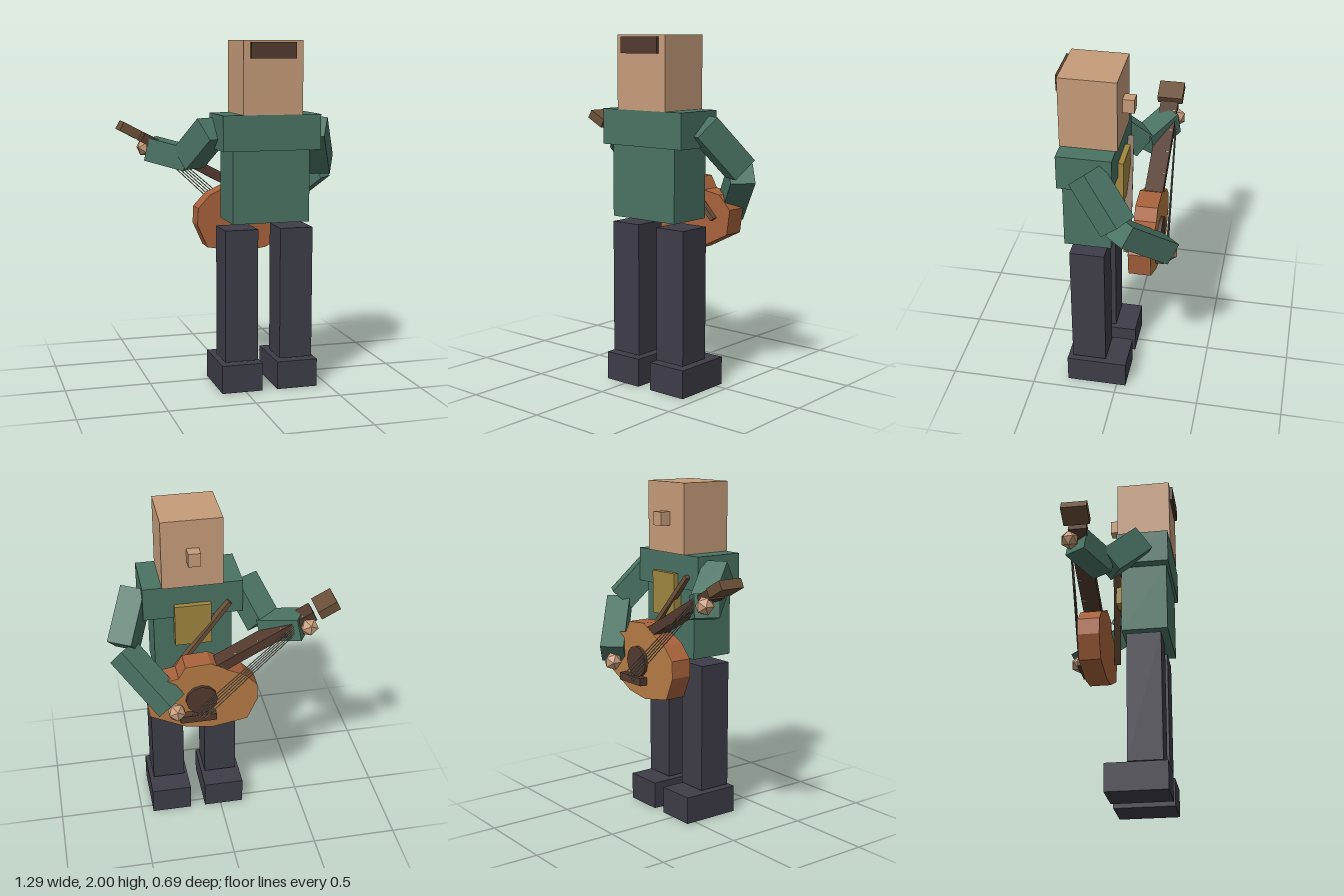
import * as THREE from 'three';

const mat = (name, color) => {
  const m = new THREE.MeshStandardMaterial({ color });
  m.name = name;
  return m;
};

export function createModel() {
  const skin = mat('skin', 0xc69c7a);
  const green = mat('greenShirt', 0x4a7364);
  const navy = mat('darkTrousers', 0x3e3d48);
  const dark = mat('darkWood', 0x533a2f);
  const brown = mat('brownWood', 0x6b5039);
  const orange = mat('guitarWood', 0xa8623c);
  const tan = mat('guitarTop', 0xb77c45);
  const ochre = mat('ochrePanel', 0xa08640);
  const steel = mat('strings', 0xa39b88);

  const root = new THREE.Group();
  root.name = 'guitarPlayer';
  const add = (name, geo, m, parent = root) => {
    const mesh = new THREE.Mesh(geo, m);
    mesh.name = name;
    parent.add(mesh);
    return mesh;
  };
  // Axis-aligned box from its limits
  const box = (name, m, x0, x1, y0, y1, z0, z1) =>
    add(name, new THREE.BoxGeometry(x1 - x0, y1 - y0, z1 - z0), m)
      .position.set((x0 + x1) / 2, (y0 + y1) / 2, (z0 + z1) / 2);
  // Bar between two points; w is its level side, t the other side
  const beam = (name, m, a, b, w, t, round = false) => {
    const p = new THREE.Vector3(...a), q = new THREE.Vector3(...b);
    const d = q.clone().sub(p), len = d.length();
    d.normalize();
    const s = new THREE.Vector3().crossVectors(d, new THREE.Vector3(0, 1, 0)).normalize();
    const n = new THREE.Vector3().crossVectors(s, d);
    const geo = round ? new THREE.CylinderGeometry(w / 2, w / 2, len, 5) : new THREE.BoxGeometry(w, len, t);
    const mesh = add(name, geo, m);
    mesh.quaternion.setFromRotationMatrix(new THREE.Matrix4().makeBasis(s, d, n));
    mesh.position.copy(p.add(q).multiplyScalar(0.5));
    return mesh;
  };

  // Head
  box('head', skin, -0.025, 0.32, 1.59, 2, 0.005, 0.325);
  box('nose', skin, 0.11, 0.18, 1.75, 1.83, -0.06, 0.01);
  box('hairPatch', dark, 0.015, 0.275, 1.9, 1.99, 0.32, 0.343);

  // Torso
  box('shoulders', green, -0.14, 0.43, 1.39, 1.59, 0.016, 0.322);
  box('torso', green, -0.08, 0.37, 0.98, 1.4, 0.035, 0.305);
  box('chestPanel', ochre, 0.045, 0.255, 1.22, 1.475, -0.015, 0.04);

  // Legs and feet
  for (const x of [-0.018, 0.308]) {
    box('leg', navy, x - 0.097, x + 0.097, 0.175, 0.94, 0.07, 0.27);
  }
  for (const x of [-0.02, 0.31]) {
    box('foot', navy, x - 0.12, x + 0.12, 0, 0.163, -0.055, 0.3);
  }

  // Strumming arm
  beam('upperArm', green, [0.445, 1.508, 0.156], [0.555, 1.268, -0.039], 0.145, 0.155);
  beam('forearm', green, [0.56, 1.24, -0.05], [0.32, 0.985, -0.265], 0.14, 0.13);
  // Fretting arm
  beam('upperArm', green, [-0.155, 1.508, 0.156], [-0.255, 1.325, -0.022], 0.145, 0.155);
  beam('forearm', green, [-0.245, 1.32, -0.04], [-0.45, 1.375, -0.165], 0.14, 0.135);
  // Hands
  for (const [x, y, z] of [[0.295, 0.945, -0.28], [-0.475, 1.38, -0.2]]) {
    const geo = new THREE.IcosahedronGeometry(0.055, 0);
    geo.computeVertexNormals();
    add('hand', geo, skin).position.set(x, y, z);
  }

  // Guitar body with a lighter top plate
  const outline = new THREE.Shape([
    [-0.19, 0.92], [-0.13, 0.785], [0.08, 0.748], [0.23, 0.77], [0.44, 0.875], [0.46, 1.02],
    [0.385, 1.1], [0.27, 1.12], [0.23, 1.19], [0.085, 1.2], [-0.02, 1.14], [-0.11, 1.1], [-0.185, 1.02],
  ].map(([x, y]) => new THREE.Vector2(x, y)));
  const slab = (name, m, z, depth) =>
    add(name, new THREE.ExtrudeGeometry(outline, { depth, bevelEnabled: false }), m).position.set(0, 0, z);
  slab('guitarBody', orange, -0.198, 0.122);
  slab('guitarTop', tan, -0.203, 0.005);

  // Sound hole and bridge
  const hole = add('soundHole', new THREE.CylinderGeometry(0.092, 0.092, 0.022, 12), dark);
  hole.rotation.x = Math.PI / 2;
  hole.position.set(0.14, 0.965, -0.212);
  box('bridge', dark, 0.06, 0.27, 0.835, 0.88, -0.25, -0.2);

  // Neck, frets and headstock share one tilted line
  const tilt = -0.49;
  const onNeck = (x, z) => [x, 1.13 - 0.535 * (x - 0.085), z];
  const neckPart = (name, m, x, z, l, h, d) => {
    const mesh = add(name, new THREE.BoxGeometry(l, h, d), m);
    mesh.rotation.z = tilt;
    mesh.position.set(...onNeck(x, z));
  };
  neckPart('neck', dark, -0.215, -0.15, 0.66, 0.058, 0.105);
  neckPart('headstock', brown, -0.58, -0.148, 0.12, 0.055, 0.15);
  for (const x of [-0.45, -0.33, -0.2, -0.07, 0.05]) {
    neckPart('fret', steel, x, -0.187, 0.006, 0.061, 0.015);
  }

  // Strings
  for (let i = -2; i <= 2; i++) {
    const o = i * 0.008, e = i * 0.018;
    beam('string', steel, [-0.41 + o, 1.39 + o, -0.205], [0.165 + e, 0.875 + e * 0.5, -0.253], 0.006, 0.006, true);
  }

  // Strap from chest to guitar
  beam('strap', brown, [-0.06, 1.47, 0.005], [0.36, 0.96, -0.055], 0.04, 0.025);

  return root;
}
